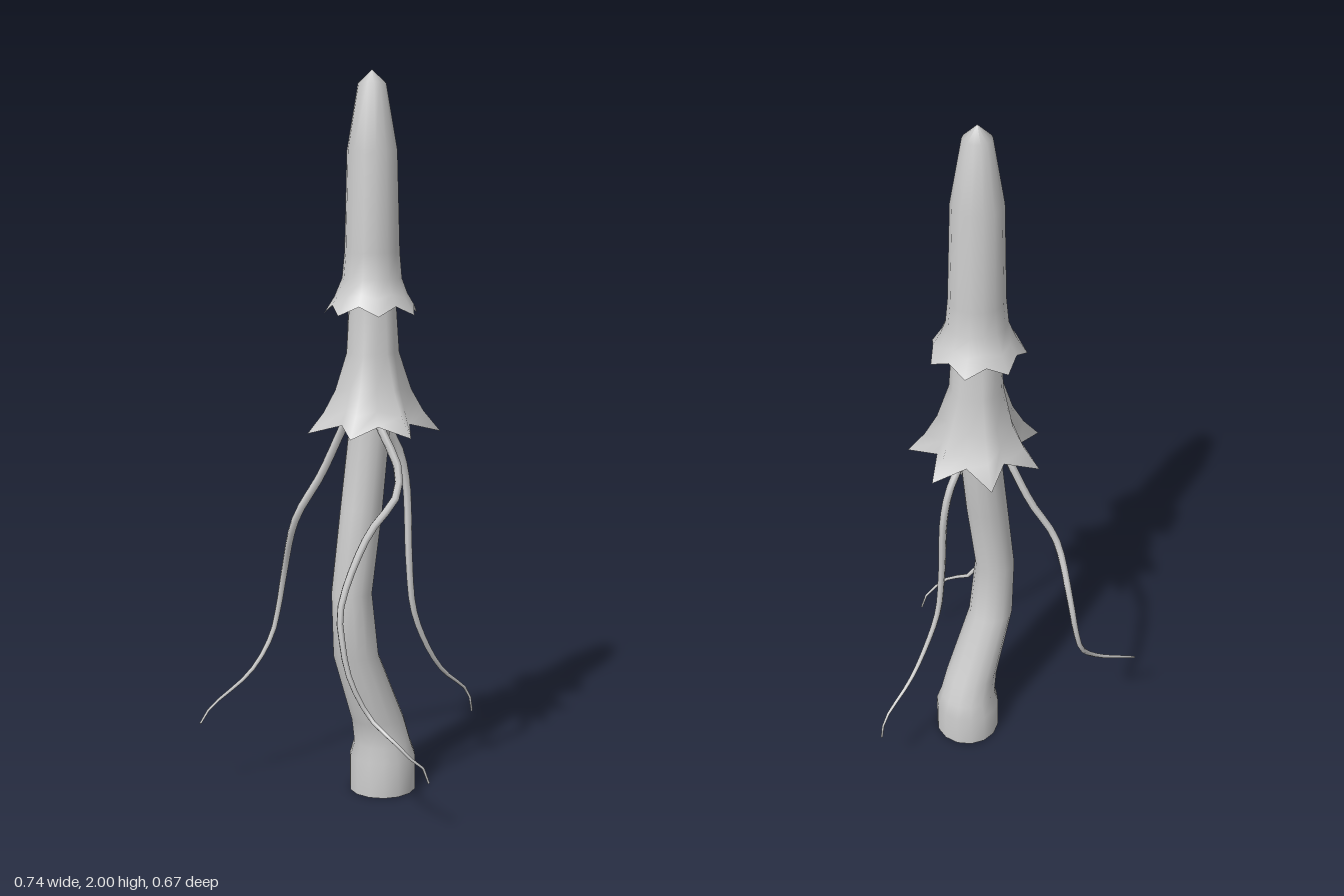
import * as THREE from 'three';

const CX = 0.005, CZ = -0.018;   // axis of the hoods
const mat = new THREE.MeshStandardMaterial({ color: 0xcccccc, side: THREE.DoubleSide });

// Skin stacked rings, bottom to top; point(row, column) gives [x, y, z]
function loft(rows, cols, point) {
  const pos = [], idx = [];
  for (let i = 0; i < rows; i++)
    for (let j = 0; j < cols; j++) pos.push(...point(i, j));
  for (let i = 0; i < rows - 1; i++)
    for (let j = 0; j < cols; j++) {
      const k = (j + 1) % cols;
      const a = i * cols + j, b = a + cols, c = i * cols + k, d = c + cols;
      idx.push(a, b, c, c, b, d);
    }
  const g = new THREE.BufferGeometry();
  g.setAttribute('position', new THREE.Float32BufferAttribute(pos, 3));
  g.setIndex(idx);
  g.computeVertexNormals();
  return g;
}

// Hood with seven points; each ring is [y at tips, tip radius, y at notches, notch radius]
function hood(rings, startAngle) {
  return loft(rings.length, 14, (i, j) => {
    const [yt, rt, yn, rn] = rings[i];
    const a = startAngle + j * Math.PI / 7, tip = j % 2 === 0;
    const r = tip ? rt : rn;
    return [CX + r * Math.cos(a), tip ? yt : yn, CZ + r * Math.sin(a)];
  });
}

// Tapered tendril along a path
function tendril(points, r0, r1) {
  const curve = new THREE.CatmullRomCurve3(points.map(p => new THREE.Vector3(...p)), false, 'centripetal');
  const segs = 24, sides = 6;
  const g = new THREE.TubeGeometry(curve, segs, 1, sides);
  const p = g.attributes.position, v = new THREE.Vector3();
  for (let i = 0; i < p.count; i++) {
    const t = Math.floor(i / (sides + 1)) / segs;
    const c = curve.getPointAt(t);
    v.fromBufferAttribute(p, i).sub(c).multiplyScalar(r0 + (r1 - r0) * t * t).add(c);
    p.setXYZ(i, v.x, v.y, v.z);
  }
  return g;
}

export function createModel() {
  const group = new THREE.Group();
  const add = (name, geometry) => {
    const m = new THREE.Mesh(geometry, mat);
    m.name = name;
    group.add(m);
    return m;
  };

  // Bent stalk with a thick foot: [y, centre x, radius]
  const stalk = [
    [0, 0.043, 0.094], [0.1, 0.043, 0.094], [0.14, 0.042, 0.081], [0.21, 0.025, 0.075],
    [0.41, -0.055, 0.064], [0.59, -0.07, 0.057], [0.82, -0.035, 0.059],
    [1.05, -0.004, 0.057], [1.4, 0.004, 0.055],
  ];
  add('stalk', loft(stalk.length, 14, (i, j) => {
    const [y, x, r] = stalk[i], a = j * Math.PI / 7;
    return [x + r * Math.cos(a), y, CZ + r * Math.sin(a)];
  }));
  const foot = add('footUnderside', new THREE.CircleGeometry(0.094, 14).rotateX(Math.PI / 2));
  foot.position.set(0.043, 0, CZ);

  // Lower skirt, flaring into long points
  const tilt = -0.095;
  add('lowerSkirt', hood([
    [1.035, 0.187, 1.06, 0.118],
    [1.09, 0.141, 1.1, 0.101],
    [1.15, 0.107, 1.155, 0.086],
    [1.25, 0.074, 1.25, 0.07],
    [1.42, 0.063, 1.42, 0.063],
  ], tilt));

  // Upper hood, its points set between those of the skirt
  add('upperHood', hood([
    [1.355, 0.131, 1.38, 0.114],
    [1.4, 0.103, 1.41, 0.096],
    [1.45, 0.082, 1.45, 0.081],
    [1.52, 0.075, 1.52, 0.075],
    [1.79, 0.068, 1.79, 0.068],
    [1.965, 0.038, 1.965, 0.038],
    [2.0, 0, 2.0, 0],
  ], tilt + Math.PI / 7));

  // Three hanging tendrils
  const tendrils = {
    leftTendril: [
      [0.05, 1.08, -0.025], [0.07, 1.03, -0.022], [0.11, 0.96, -0.02], [0.13, 0.87, -0.016],
      [0.127, 0.65, 0], [0.14, 0.51, 0.005], [0.185, 0.4, 0.01],
      [0.25, 0.31, 0.01], [0.355, 0.22, 0.01], [0.37, 0.16, 0.01],
    ],
    backTendril: [
      [-0.025, 1.08, -0.075], [-0.03, 1.03, -0.105], [-0.06, 0.9, -0.16], [-0.105, 0.77, -0.22],
      [-0.09, 0.6, -0.295], [-0.095, 0.5, -0.315], [-0.12, 0.41, -0.32],
      [-0.2, 0.32, -0.315], [-0.33, 0.235, -0.333], [-0.37, 0.2, -0.325],
    ],
    frontTendril: [
      [-0.04, 1.08, 0.05], [-0.035, 1.03, 0.08], [-0.025, 0.95, 0.122], [-0.045, 0.88, 0.138],
      [-0.13, 0.78, 0.12], [-0.233, 0.6, 0.13], [-0.243, 0.52, 0.148], [-0.235, 0.42, 0.17],
      [-0.195, 0.31, 0.21], [-0.178, 0.265, 0.28], [-0.15, 0.22, 0.318], [-0.118, 0.19, 0.331],
      [-0.105, 0.15, 0.336],
    ],
  };
  for (const [name, points] of Object.entries(tendrils)) add(name, tendril(points, 0.012, 0.003));

  return group;
}
